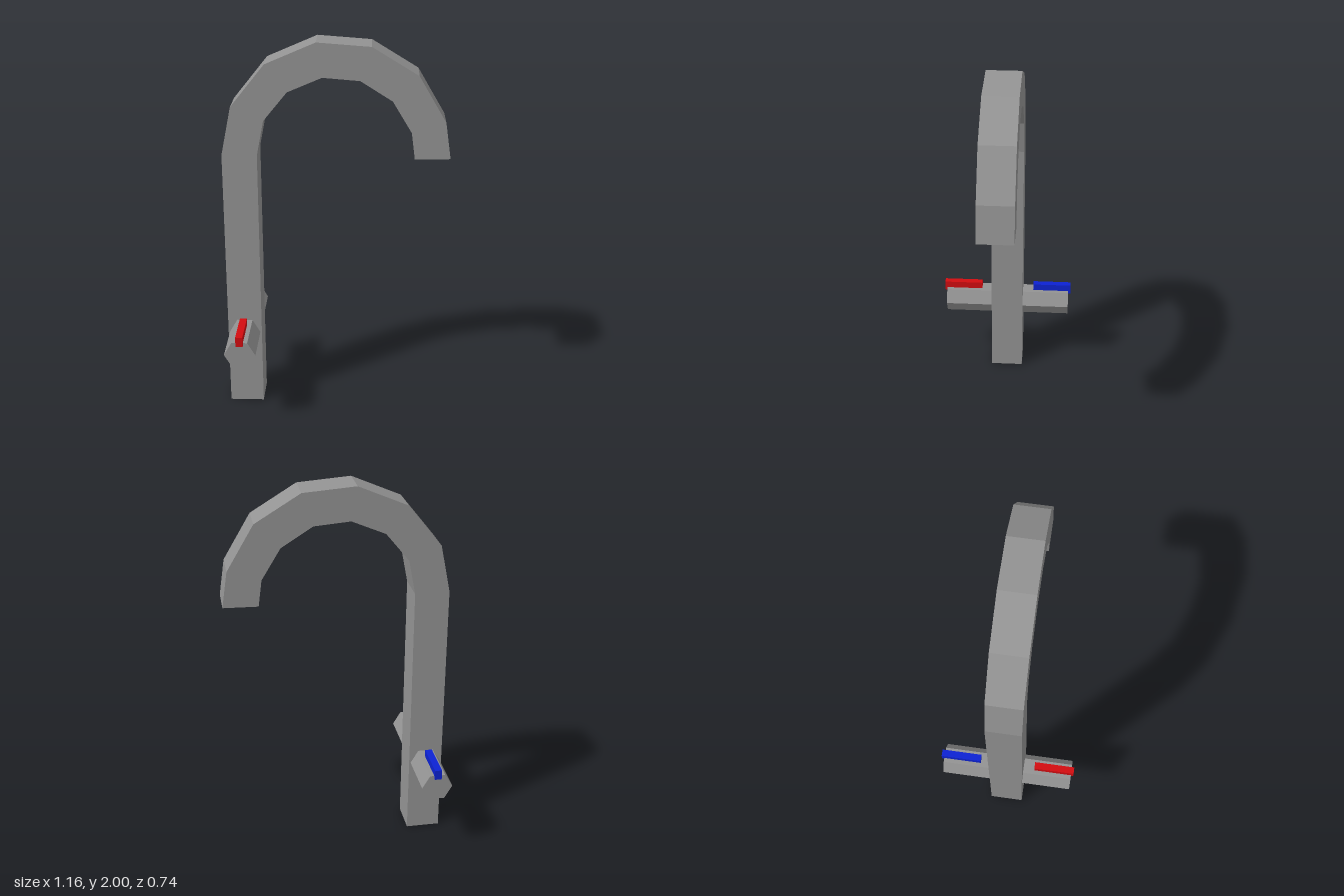
import * as THREE from 'three';

export function createModel() {
  const model = new THREE.Group();
  const material = (name, color) => {
    const m = new THREE.MeshStandardMaterial({ color, flatShading: true });
    m.name = name;
    return m;
  };
  const metal = material('grey metal', 0x939393);
  const red = material('hot red', 0xd20c10);
  const blue = material('cold blue', 0x0c22d2);

  const add = (name, geometry, mat, x = 0, y = 0, z = 0) => {
    const mesh = new THREE.Mesh(geometry, mat);
    mesh.name = name;
    mesh.position.set(x, y, z);
    model.add(mesh);
  };

  // Square spout: upright stem and faceted hook, outer edge then inner edge
  const outer = [[-0.58, 0], [-0.58, 1.42], [-0.528, 1.672], [-0.353, 1.89], [-0.098, 2],
    [0.176, 1.98], [0.411, 1.837], [0.55, 1.601], [0.578, 1.412]];
  const inner = [[0.398, 1.408], [0.38, 1.546], [0.282, 1.708], [0.12, 1.81], [-0.068, 1.825],
    [-0.243, 1.75], [-0.364, 1.602], [-0.4, 1.42], [-0.4, 0]];
  const profile = new THREE.Shape([...outer, ...inner].map(([x, y]) => new THREE.Vector2(x, y)));
  const spout = new THREE.ExtrudeGeometry(profile, { depth: 0.18, bevelEnabled: false });
  add('spout', spout, metal, 0, 0, -0.09);

  // Hexagonal bar through the stem, carrying both taps
  const bar = new THREE.CylinderGeometry(0.082, 0.082, 0.71, 6, 1, false, Math.PI / 2).rotateX(Math.PI / 2);
  add('tapBar', bar, metal, -0.49, 0.42, 0);

  // Coloured strips on top of the bar
  for (const [name, mat, side] of [['hotMarker', red, 1], ['coldMarker', blue, -1]]) {
    add(name, new THREE.BoxGeometry(0.037, 0.054, 0.218), mat, -0.49, 0.502, side * 0.259);
  }
  return model;
}
